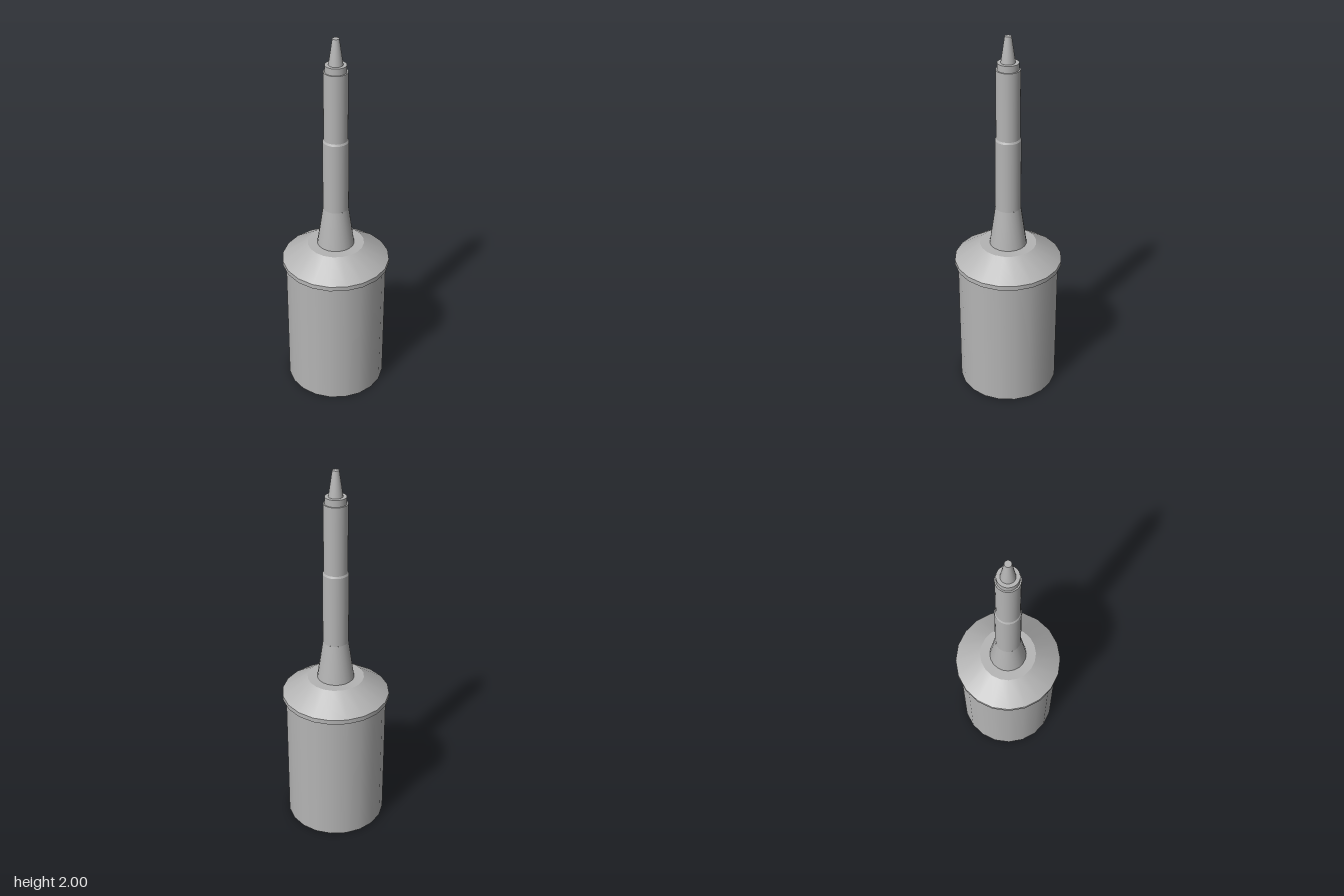
import * as THREE from 'three';

export function createModel() {
  const model = new THREE.Group();
  const grey = new THREE.MeshStandardMaterial({ color: 0xb4b4b4, side: THREE.DoubleSide });
  grey.name = 'plain grey';

  const add = (name, geometry) => {
    const mesh = new THREE.Mesh(geometry, grey);
    mesh.name = name;
    model.add(mesh);
    return mesh;
  };
  // Turned part: profile of [radius, height], listed from bottom to top
  const turn = (name, profile, sides = 20) =>
    add(name, new THREE.LatheGeometry(profile.map(([r, y]) => new THREE.Vector2(r, y)), sides));

  // Hollow drum, open at the bottom
  turn('drumWall', [[0.268, 0], [0.268, 0.75]]);
  turn('drumCeiling', [[0, 0.747], [0.285, 0.747]]);

  // Sloping cap with a thin rim
  turn('capRim', [[0.285, 0.747], [0.285, 0.772]]);
  turn('capSlope', [[0.285, 0.772], [0.15, 0.865]]);
  turn('capTop', [[0.15, 0.865], [0, 0.865]]);

  // Stepped shaft
  turn('neck', [[0.098, 0.865], [0.067, 1.08]]);
  turn('lowerShaft', [[0.067, 1.08], [0.066, 1.465]], 32);
  turn('shaftStep', [[0.066, 1.465], [0.061, 1.475]], 32);
  turn('upperShaft', [[0.061, 1.475], [0.061, 1.835]], 32);
  turn('upperShaftTop', [[0.061, 1.835], [0, 1.835]], 32);
  turn('collar', [[0.054, 1.835], [0.054, 1.87]], 32);
  turn('collarTop', [[0.054, 1.87], [0, 1.87]], 32);

  // Tapered tip
  turn('tip', [[0.036, 1.87], [0.017, 2]], 24);
  turn('tipEnd', [[0.017, 2], [0, 2]], 24);

  // Radial blades inside the drum
  const blades = new THREE.Group();
  blades.name = 'blades';
  const bladeShape = new THREE.BoxGeometry(0.24, 0.7, 0.014).translate(0.12, 0.375, 0);
  const count = 16;
  for (let i = 0; i < count; i++) {
    const blade = new THREE.Mesh(bladeShape, grey);
    blade.name = 'blade';
    blade.rotation.y = ((i + 0.5) / count) * Math.PI * 2;
    blades.add(blade);
  }
  model.add(blades);

  return model;
}
